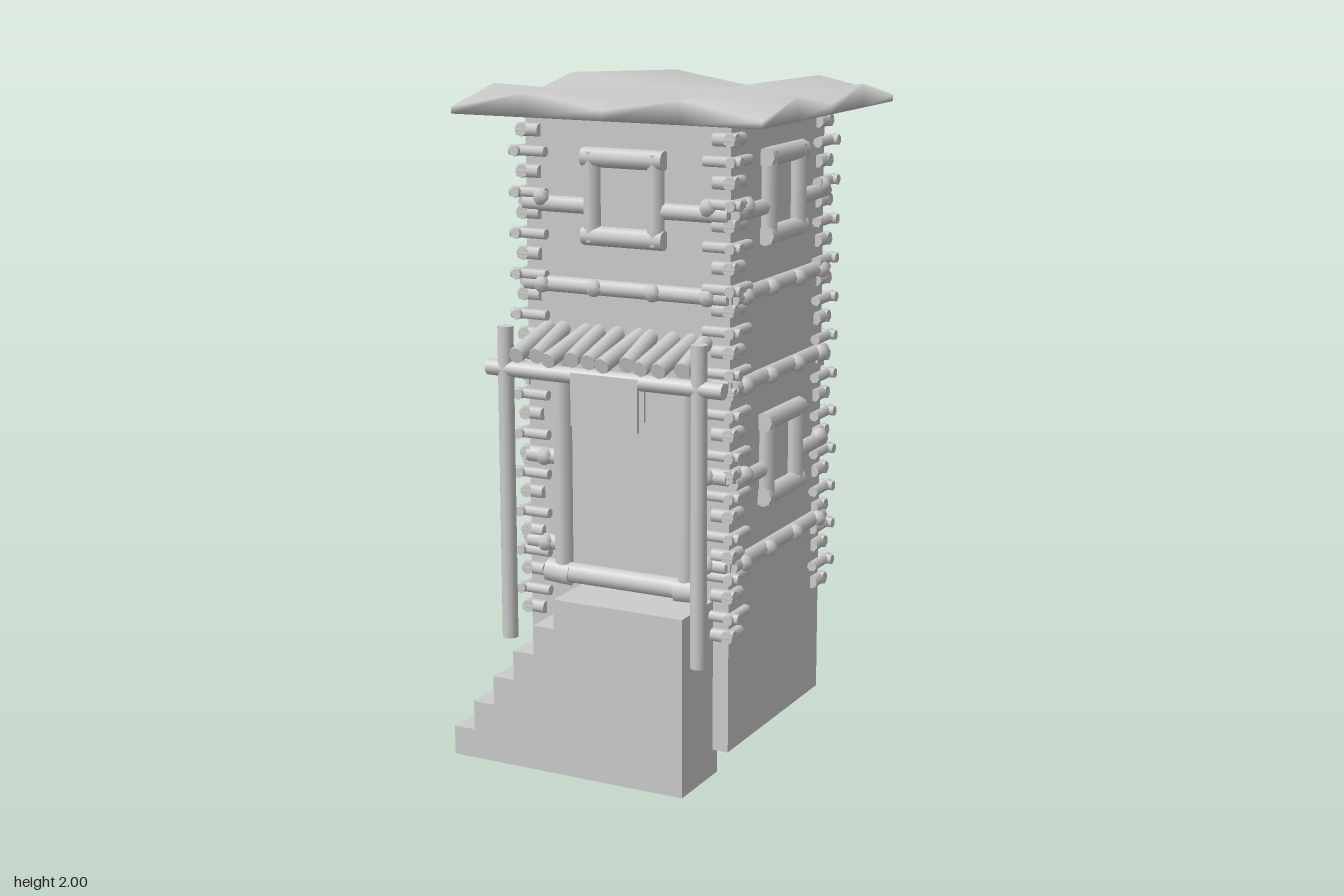
import * as THREE from 'three';
import { mergeVertices } from 'three/addons/utils/BufferGeometryUtils.js';

const grey = new THREE.MeshStandardMaterial({ color: 0xcccccc });
const greyDouble = new THREE.MeshStandardMaterial({ color: 0xcccccc, side: THREE.DoubleSide });

const HALF_X = 0.33, HALF_Z = 0.325, CENTRE_Z = -0.025;

function add(parent, name, geometry, x = 0, y = 0, z = 0, material = grey) {
  const mesh = new THREE.Mesh(geometry, material);
  mesh.name = name;
  mesh.position.set(x, y, z);
  parent.add(mesh);
  return mesh;
}

// Round log between two points
function log(parent, name, a, b, radius, sides = 8) {
  const from = new THREE.Vector3(...a), to = new THREE.Vector3(...b);
  const dir = to.clone().sub(from);
  const mesh = add(parent, name, new THREE.CylinderGeometry(radius, radius, dir.length(), sides));
  mesh.position.copy(from).add(to).multiplyScalar(0.5);
  mesh.quaternion.setFromUnitVectors(new THREE.Vector3(0, 1, 0), dir.normalize());
  return mesh;
}

function bolt(parent, x, y, z) {
  add(parent, 'bolt', new THREE.SphereGeometry(0.026, 6, 5), x, y, z);
}

// Window framed by four logs, with a short beam out to each corner
function windowFrame(parent, y, dist, half) {
  const z = dist + 0.015;
  for (const s of [-1, 1]) {
    log(parent, 'windowPost', [s * 0.103, y - 0.13, z], [s * 0.103, y + 0.13, z], 0.026);
    log(parent, 'windowRail', [-0.13, y + s * 0.113, z], [0.13, y + s * 0.113, z], 0.029);
    log(parent, 'windowBeam', [s * 0.12, y - 0.03, dist + 0.005], [s * half, y - 0.03, dist + 0.005], 0.024);
    bolt(parent, s * 0.268, y - 0.01, dist + 0.022);
  }
}

// Full-width board and log with a row of bolts
function beltBeam(parent, y, dist, half) {
  add(parent, 'beltBoard', new THREE.BoxGeometry(half * 2 + 0.016, 0.07, 0.012), 0, y - 0.015, dist + 0.002);
  log(parent, 'beltLog', [-half, y, dist + 0.005], [half, y, dist + 0.005], 0.024);
  for (const x of [-0.268, -0.095, 0.095, 0.268]) bolt(parent, x, y, dist + 0.022);
}

function createSide(isFront, dist, half) {
  const side = new THREE.Group();
  windowFrame(side, 1.7, dist, half);
  beltBeam(side, 1.435, dist, half);
  if (!isFront) {
    beltBeam(side, 1.175, dist, half);
    windowFrame(side, 0.925, dist, half);
    beltBeam(side, 0.65, dist, half);
    return side;
  }
  // Door frame, with beam stubs either side of it
  for (const s of [-1, 1]) {
    for (const y of [1.175, 0.915, 0.65]) {
      log(side, 'beamStub', [s * 0.2, y, dist + 0.005], [s * half, y, dist + 0.005], 0.024);
      bolt(side, s * 0.268, y, dist + 0.022);
    }
    log(side, 'doorPost', [s * 0.205, 0.58, dist + 0.02], [s * 0.205, 1.25, dist + 0.02], 0.028);
    log(side, 'doorstepEnd', [s * 0.175, 0.565, dist + 0.025], [s * 0.255, 0.57, dist + 0.025], 0.037);
  }
  log(side, 'doorstep', [-0.2, 0.57, dist + 0.025], [0.2, 0.57, dist + 0.025], 0.032);
  return side;
}

// Crossed log ends stacked up one corner
function createCorner(sx, sz) {
  const corner = new THREE.Group();
  corner.name = 'cornerLogs';
  for (let i = 0; i < 25; i++) {
    const y = 0.44 + i * 0.06, wide = i % 2 === 1;
    const r = wide ? 0.016 : 0.02;
    const out = wide ? 0.042 : 0.022, inn = wide ? 0.075 : 0.05, off = wide ? 0.016 : 0.004;
    log(corner, 'logEndX', [sx * (HALF_X - inn), y, sz * (HALF_Z + off)],
      [sx * (HALF_X + out), y, sz * (HALF_Z + off)], r, 7);
    log(corner, 'logEndZ', [sx * (HALF_X + off), y, sz * (HALF_Z - inn - 0.01)],
      [sx * (HALF_X + off), y, sz * (HALF_Z + out)], r, 7);
  }
  return corner;
}

// Soft slab whose rim rises and dips along every side
function createRoof() {
  let g = new THREE.BoxGeometry(0.98, 0.07, 0.945, 4, 1, 4);
  const p = g.attributes.position;
  for (let i = 0; i < p.count; i++) {
    if (p.getY(i) < 0) continue;
    const u = Math.round(Math.abs(p.getX(i)) / 0.245);
    const v = Math.round(Math.abs(p.getZ(i)) / 0.236);
    let y = 1.965;
    if (u === 2 || v === 2) {
      const along = Math.min(u, v);
      y = [1.96, 2.0, 1.95][along];
    }
    p.setY(i, y - 1.965);
  }
  g.deleteAttribute('normal');
  g.deleteAttribute('uv');
  g = mergeVertices(g);
  g.computeVertexNormals();
  return g;
}

// Stepped profile swept in z, open underneath
function createStairs() {
  const stairs = new THREE.Group();
  stairs.name = 'stairs';
  const z0 = 0.27, z1 = 0.5, pts = [[-0.49, 0]];
  for (let i = 0; i < 6; i++) {
    const x = -0.49 + i * 0.07, y = (i + 1) * 0.09;
    pts.push([x, y], [i < 5 ? x + 0.07 : 0.28, y]);
  }
  pts.push([0.28, 0]);
  const pos = [];
  for (let i = 0; i < pts.length - 1; i++) {
    const [ax, ay] = pts[i], [bx, by] = pts[i + 1];
    pos.push(ax, ay, z0, ax, ay, z1, bx, by, z1, ax, ay, z0, bx, by, z1, bx, by, z0);
  }
  const steps = new THREE.BufferGeometry();
  steps.setAttribute('position', new THREE.Float32BufferAttribute(pos, 3));
  steps.computeVertexNormals();
  add(stairs, 'steps', steps, 0, 0, 0, greyDouble);
  const cheek = new THREE.ShapeGeometry(new THREE.Shape(pts.map(([x, y]) => new THREE.Vector2(x, y))));
  add(stairs, 'frontCheek', cheek, 0, 0, z1, greyDouble);
  add(stairs, 'backCheek', cheek, 0, 0, z0, greyDouble).visible = true;
  return stairs;
}

// Two posts, a rail, slanted awning logs and a hanging cloth
function createPorch() {
  const porch = new THREE.Group();
  porch.name = 'porch';
  for (const s of [-1, 1]) log(porch, 'porchPost', [s * 0.312, 0.39, 0.46], [s * 0.312, 1.33, 0.46], 0.024, 10);
  log(porch, 'porchRail', [-0.37, 1.205, 0.46], [0.39, 1.205, 0.46], 0.024, 10);
  for (let i = 0; i < 10; i++) {
    const x = -0.26 + i * 0.058, wobble = 0.012 * Math.sin(i * 2.3);
    log(porch, 'awningLog', [x + wobble, 1.252 + wobble * 0.5, 0.49], [x - wobble, 1.305, 0.29], 0.024);
  }
  add(porch, 'hangingCloth', new THREE.BoxGeometry(0.215, 0.155, 0.012), 0.022, 1.14, 0.478);
  add(porch, 'clothBack', new THREE.BoxGeometry(0.2, 0.13, 0.01), 0.03, 1.15, 0.438);
  return porch;
}

export function createModel() {
  const model = new THREE.Group();
  model.name = 'watchtower';

  const tower = new THREE.Group();
  tower.name = 'tower';
  tower.position.z = CENTRE_Z;
  model.add(tower);

  // Square wall shell, open at the bottom
  let shell = new THREE.CylinderGeometry(Math.SQRT2, Math.SQRT2, 1.86, 4, 1, true);
  shell = shell.rotateY(Math.PI / 4).scale(HALF_X, 1, HALF_Z).toNonIndexed();
  shell.computeVertexNormals();
  add(tower, 'walls', shell, 0, 1.01, 0, greyDouble);

  ['frontSide', 'leftSide', 'backSide', 'rightSide'].forEach((name, i) => {
    const alongX = i % 2 === 0;
    const side = createSide(i === 0, alongX ? HALF_Z : HALF_X, alongX ? HALF_X : HALF_Z);
    side.name = name;
    side.rotation.y = i * Math.PI / 2;
    tower.add(side);
  });
  for (const sx of [-1, 1]) for (const sz of [-1, 1]) tower.add(createCorner(sx, sz));

  add(model, 'roof', createRoof(), 0, 1.965, -0.0275);
  model.add(createStairs(), createPorch());
  return model;
}
